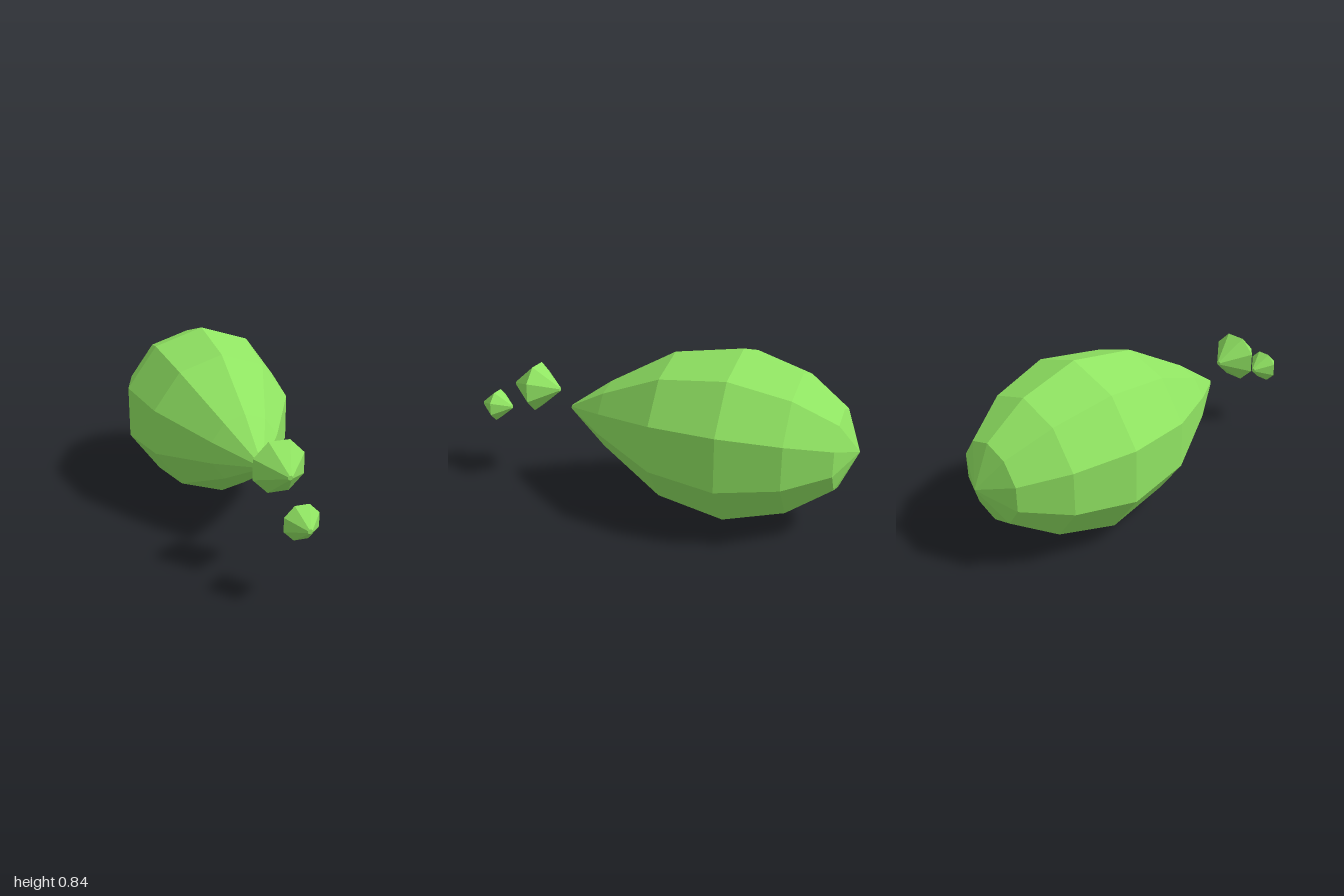
import * as THREE from 'three';

export function createModel() {
  const group = new THREE.Group();
  const green = new THREE.MeshStandardMaterial({ color: 0x90e462, flatShading: true });
  green.name = 'bright green';

  // Faceted solid turned around the z axis; profile is [radius, z] from back to front
  function drop(name, profile, sides, phase, y, z) {
    const points = profile.map(([r, d]) => new THREE.Vector2(r, d));
    const geometry = new THREE.LatheGeometry(points, sides, phase);
    geometry.rotateX(Math.PI / 2);
    const mesh = new THREE.Mesh(geometry, green);
    mesh.name = name;
    mesh.position.set(0, y, z);
    group.add(mesh);
  }

  // Large teardrop, blunt at the back and tapering to the front
  drop('largeDrop', [
    [0, -1], [0.195, -0.915], [0.338, -0.717], [0.422, -0.435],
    [0.366, -0.1], [0.172, 0.24], [0.012, 0.465], [0, 0.465],
  ], 10, 0, 0.423, 0);

  // Two small droplets in front: eight-sided double cones with tiny flat tips
  const droplet = (name, radius, halfLength, y, z) => drop(name, [
    [0, -halfLength], [0.011, -halfLength], [radius, 0], [0.011, halfLength], [0, halfLength],
  ], 8, Math.PI / 8, y, z);
  droplet('middleDroplet', 0.127, 0.128, 0.508, 0.662);
  droplet('frontDroplet', 0.084, 0.085, 0.367, 0.915);

  return group;
}
